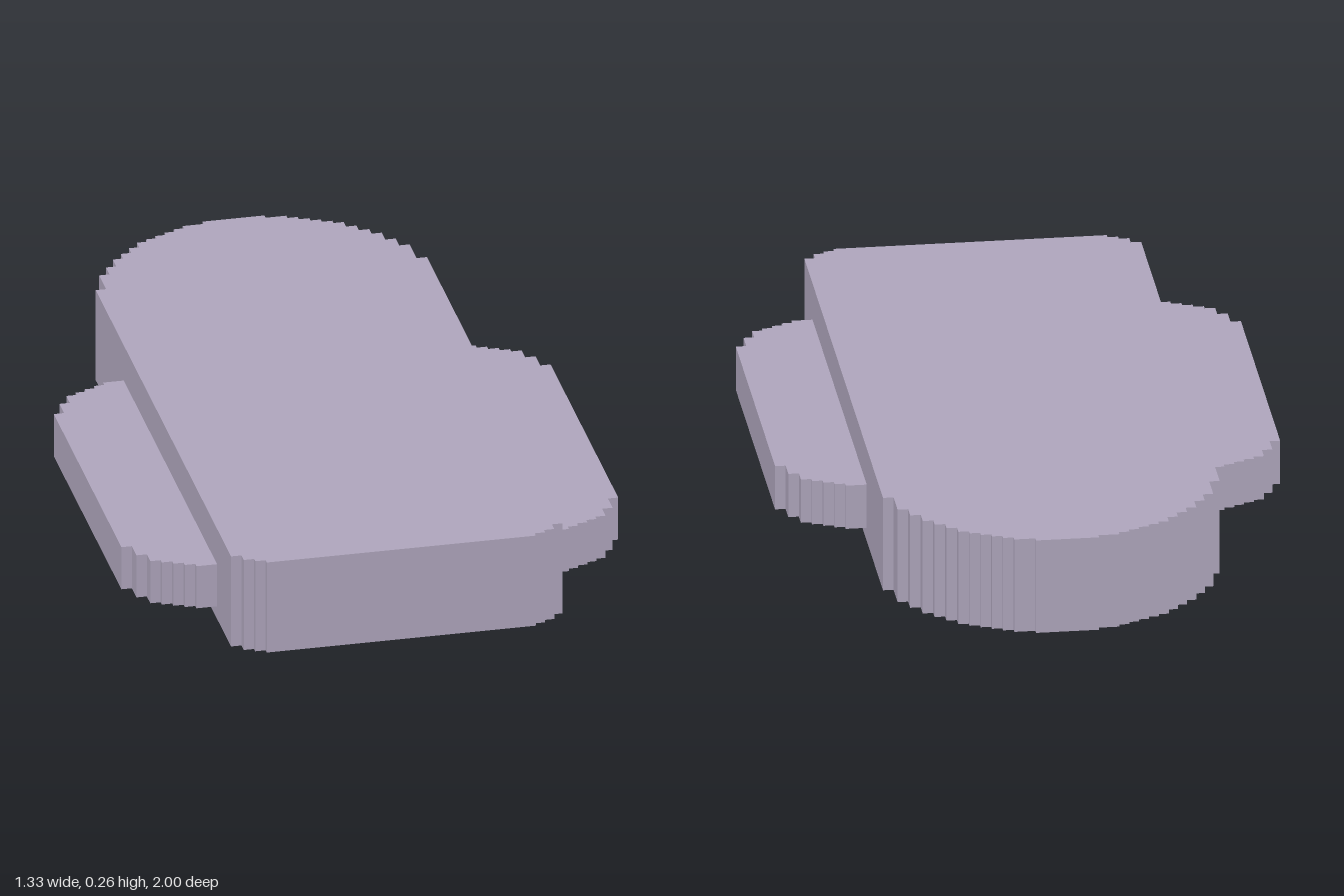
import * as THREE from 'three';

const COL = 1 / 36; // width of one outline step in x
const snap = (z) => Math.round(z * 72) / 72; // step size in z

const material = new THREE.MeshStandardMaterial({ color: 0xb0a7be, flatShading: true });

// Reach along z of a quarter ellipse rounding off beyond x = x0
function roundEnd(x, x0, rx, rz) {
  const t = Math.min(1, Math.max(0, (Math.abs(x) - x0) / rx));
  return rz * Math.sqrt(1 - t * t);
}

// Slab whose outline is stepped column by column between back(x) and front(x)
function steppedSlab(name, from, to, back, front, y0, y1) {
  const points = [];
  const add = (x, z) => {
    const last = points[points.length - 1];
    if (!last || Math.hypot(last.x - x, last.y + z) > 1e-6) points.push(new THREE.Vector2(x, -z));
  };
  for (let i = from; i < to; i++) {
    const z = snap(back((i + 0.5) * COL));
    add(i * COL, z);
    add((i + 1) * COL, z);
  }
  for (let i = to - 1; i >= from; i--) {
    const z = snap(front((i + 0.5) * COL));
    add((i + 1) * COL, z);
    add(i * COL, z);
  }
  const geometry = new THREE.ExtrudeGeometry(new THREE.Shape(points), { depth: y1 - y0, bevelEnabled: false });
  geometry.rotateX(-Math.PI / 2).translate(0, y0, 0);
  const mesh = new THREE.Mesh(geometry, material);
  mesh.name = name;
  return mesh;
}

export function createModel() {
  const group = new THREE.Group();
  group.name = 'steppedPlate';

  // Main body: half-round back, small rounded corners at the front
  group.add(steppedSlab('body', -16, 16,
    (x) => -0.5556 - roundEnd(x, 0, 0.4444, 0.4444),
    (x) => 0.8889 + roundEnd(x, 0.3333, 0.1111, 0.1111),
    0, 0.263));

  // Thin side wings with rounded outer corners
  const wingEnd = (x) => 0.3333 + roundEnd(x, 0.4444, 0.2215, 0.2222);
  for (const [name, from, to] of [['leftWing', 16, 24], ['rightWing', -24, -16]]) {
    group.add(steppedSlab(name, from, to,
      (x) => 0.2222 - wingEnd(x),
      (x) => 0.2222 + wingEnd(x),
      0.037, 0.16));
  }
  return group;
}
